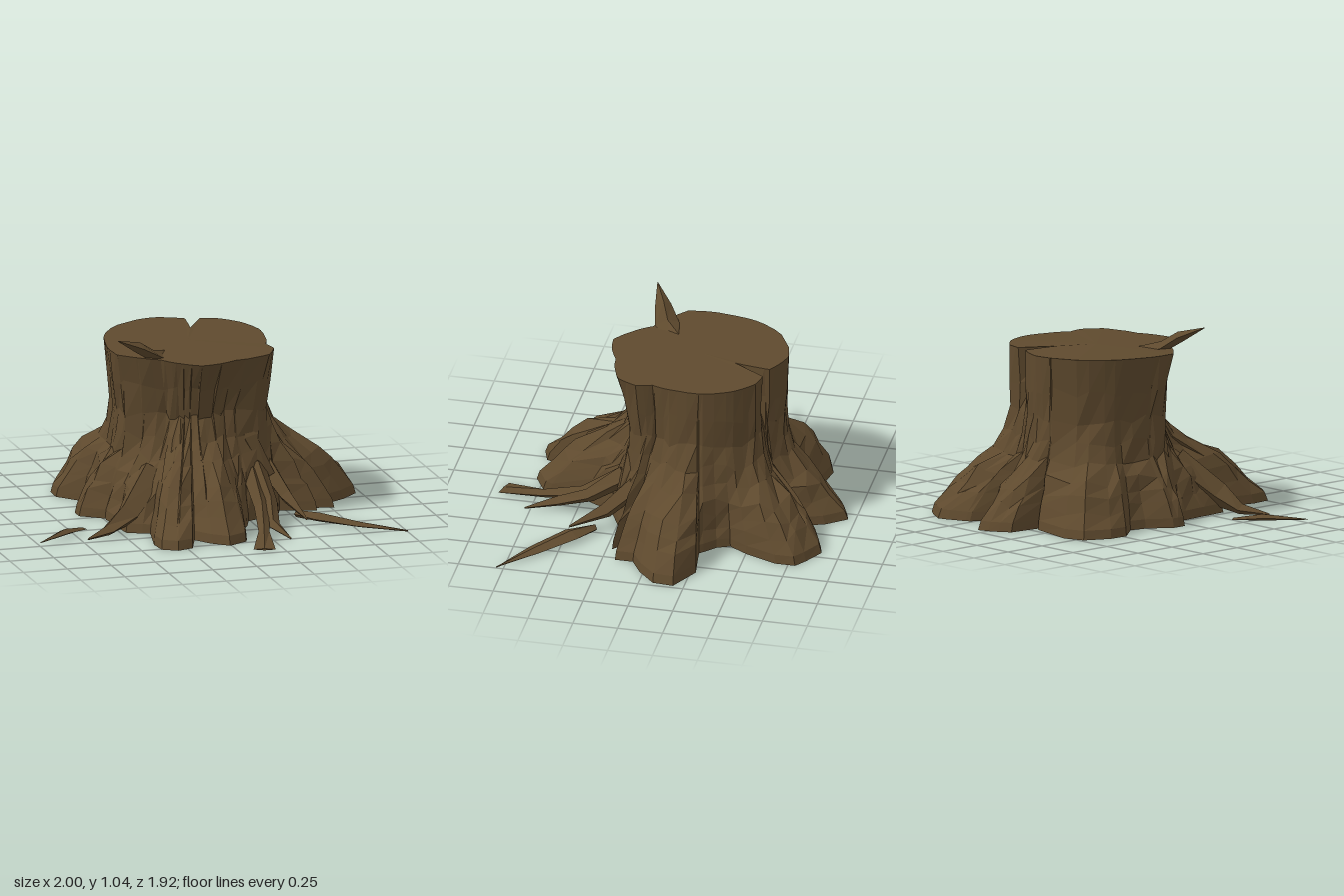
import * as THREE from 'three';

const CX = 0.03, CZ = -0.12; // trunk axis

// Outlines seen from above, as x, z pairs
const BASE = [
  [0.06, -0.96], [0.14, -0.85], [0.19, -0.7], [0.27, -0.83], [0.45, -0.9], [0.62, -0.79], [0.62, -0.68],
  [0.55, -0.5], [0.49, -0.4], [0.52, -0.33], [0.6, -0.25], [0.81, -0.28], [0.98, -0.19], [0.97, -0.07],
  [0.87, 0.02], [0.77, 0.08], [0.77, 0.18], [0.66, 0.22], [0.56, 0.13], [0.45, 0.15], [0.44, 0.22],
  [0.35, 0.27], [0.24, 0.32], [0.17, 0.47], [0.1, 0.73], [-0.01, 0.79], [-0.1, 0.71], [-0.16, 0.62],
  [-0.22, 0.78], [-0.31, 0.81], [-0.39, 0.76], [-0.4, 0.65], [-0.35, 0.42], [-0.47, 0.36], [-0.48, 0.2],
  [-0.49, 0.04], [-0.61, -0.05], [-0.61, -0.13], [-0.52, -0.26], [-0.5, -0.35], [-0.61, -0.48],
  [-0.61, -0.58], [-0.54, -0.73], [-0.43, -0.77], [-0.15, -0.71], [-0.13, -0.68], [-0.11, -0.87], [0, -0.94],
];
const RIM = [
  [-0.02, -0.61], [0.14, -0.54], [0.22, -0.52], [0.31, -0.5], [0.41, -0.4], [0.47, -0.24], [0.46, -0.1],
  [0.42, 0.05], [0.44, 0.14], [0.38, 0.25], [0.25, 0.3], [0.17, 0.31], [0.08, 0.35], [-0.04, 0.37],
  [-0.13, 0.3], [-0.22, 0.19], [-0.33, 0.12], [-0.42, 0.04], [-0.43, -0.1], [-0.41, -0.23],
  [-0.35, -0.4], [-0.25, -0.52], [-0.12, -0.59],
];
const NOTCH = [0.11, -0.34]; // split cut into the back of the rim

let seed = 7;
const rand = () => (seed = (seed * 16807) % 2147483647) / 2147483647;

const toPolar = (pts) => pts
  .map(([x, z]) => ({ a: Math.atan2(x - CX, z - CZ), r: Math.hypot(x - CX, z - CZ) }))
  .sort((p, q) => p.a - q.a);

// Radius of a polar outline at angle a
function radiusAt(polar, a) {
  const n = polar.length;
  let i = polar.findIndex((p) => p.a > a);
  if (i < 0) i = 0;
  const p = polar[(i + n - 1) % n], q = polar[i];
  const turn = Math.PI * 2;
  const span = (q.a - p.a + turn) % turn, t = ((a - p.a + turn) % turn) / span;
  return p.r + (q.r - p.r) * t;
}

// Closed skin over a list of equal-length rings, with a fan at each end
function skin(rings, startCentre, endCentre) {
  const n = rings[0].length, pos = rings.flat(2), index = [];
  for (let k = 0; k < rings.length - 1; k++) {
    for (let i = 0; i < n; i++) {
      const a = k * n + i, b = k * n + (i + 1) % n;
      index.push(a, b, b + n, a, b + n, a + n);
    }
  }
  const c0 = rings.length * n, last = c0 - n;
  pos.push(...startCentre, ...endCentre);
  for (let i = 0; i < n; i++) {
    const j = (i + 1) % n;
    index.push(c0, j, i, c0 + 1, last + i, last + j);
  }
  const g = new THREE.BufferGeometry();
  g.setAttribute('position', new THREE.Float32BufferAttribute(pos, 3));
  g.setIndex(index);
  const flat = g.toNonIndexed();
  flat.computeVertexNormals();
  return flat;
}

// Trunk: the waist flares down into the root outline and up into the rim
function trunkGeometry() {
  const base = toPolar(BASE), waist = toPolar(RIM), rim = toPolar([...RIM, NOTCH]);
  const angles = rim.map((p) => p.a);
  for (const { a } of base) {
    if (angles.every((b) => Math.abs(a - b) > 0.012)) angles.push(a);
  }
  angles.sort((a, b) => a - b);
  const levels = [[0, 1], [0.05, 0.97], [0.13, 0.84], [0.2, 0.73], [0.27, 0.59], [0.36, 0.3], [0.46, 0.12], [0.58, 0]];
  const waistRadius = (a) => {
    const front = Math.max(0, Math.cos(a)), left = Math.max(0, -Math.sin(a));
    return radiusAt(waist, a) * (0.98 - 0.25 * front * front - 0.08 * left * left);
  };
  const point = (a, r, y) => [CX + Math.sin(a) * r, y, CZ + Math.cos(a) * r];
  const rings = levels.map(([y, t], k) => angles.map((a) => {
    const w = waistRadius(a), b = radiusAt(base, a);
    // Roots straight behind and on the right side slope more evenly
    const slope = 1 + 0.7 * Math.max(0, -Math.cos(a), -Math.sin(a)) ** 4;
    const rough = k > 1 ? (rand() - 0.5) * 0.02 : 0;
    const lift = k > 1 ? (rand() - 0.5) * 0.05 : 0;
    return point(a, w + (b - w) * t ** slope + rough, y + lift);
  }));
  rings.push(angles.map((a) => {
    const r = waistRadius(a) * 0.6 + radiusAt(rim, a) * 0.4;
    return point(a, r + (rand() - 0.5) * 0.015, 0.74 + (rand() - 0.5) * 0.06);
  }));
  rings.push(angles.map((a) => point(a, radiusAt(rim, a), 0.918 - 0.012 * Math.cos(a))));
  return skin(rings, [CX, 0, CZ], [CX, 0.925, CZ]);
}

// Diamond-section splinter along stations of x, y, z, half width, half height
function splinterGeometry(stations) {
  const pts = stations.map(([x, y, z]) => new THREE.Vector3(x, y, z));
  const rings = stations.map(([, , , w, h], i) => {
    const d = pts[Math.min(i + 1, pts.length - 1)].clone().sub(pts[Math.max(i - 1, 0)]).normalize();
    const s = new THREE.Vector3(0, 1, 0).cross(d).normalize();
    const u = d.clone().cross(s);
    return [[w, 0], [0, h], [-w, 0], [0, -h]].map(([p, q]) => {
      const v = pts[i].clone().addScaledVector(s, p).addScaledVector(u, q);
      return [v.x, Math.max(0, v.y), v.z];
    });
  });
  return skin(rings, pts[0].toArray(), pts[pts.length - 1].toArray());
}

const SPLINTERS = {
  rimSplinter: [[-0.16, 0.88, 0.04, 0.05, 0.04], [-0.25, 0.92, 0.12, 0.07, 0.03], [-0.34, 0.98, 0.16, 0.045, 0.03], [-0.47, 1.04, 0.22, 0.002, 0.002]],
  looseShard: [[-0.68, 0.01, 0.24, 0.03, 0.006], [-0.81, 0.025, 0.34, 0.035, 0.018], [-1, 0.02, 0.5, 0.002, 0.002]],
  rightRoot: [[-0.27, 0.28, 0.18, 0.1, 0.08], [-0.45, 0.1, 0.34, 0.07, 0.07], [-0.58, 0.03, 0.39, 0.045, 0.03], [-0.72, 0.01, 0.47, 0.003, 0.005]],
  leftLongRoot: [[0.5, 0.03, 0.35, 0.02, 0.02], [0.6, 0.03, 0.46, 0.06, 0.025], [0.78, 0.015, 0.62, 0.045, 0.015], [1, 0.005, 0.79, 0.002, 0.004]],
  frontLongRoot: [[0.28, 0.24, 0.24, 0.05, 0.06], [0.27, 0.11, 0.46, 0.04, 0.04], [0.21, 0.04, 0.7, 0.03, 0.025], [0.14, 0.005, 0.94, 0.06, 0.006]],
  frontThinRoot: [[0.31, 0.27, 0.22, 0.06, 0.06], [0.33, 0.13, 0.42, 0.04, 0.04], [0.29, 0.05, 0.6, 0.04, 0.03], [0.34, 0.01, 0.78, 0.003, 0.005]],
  frontSideRoot: [[0.38, 0.28, 0.12, 0.06, 0.06], [0.46, 0.12, 0.3, 0.04, 0.045], [0.52, 0.03, 0.49, 0.003, 0.006]],
  // Ridges running down the front bark
  frontRidge: [[-0.1, 0.56, 0.17, 0.03, 0.02], [-0.13, 0.4, 0.26, 0.08, 0.04], [-0.24, 0.22, 0.5, 0.08, 0.04], [-0.3, 0.04, 0.73, 0.06, 0.04]],
  leftRidge: [[0.27, 0.62, 0.11, 0.02, 0.02], [0.29, 0.44, 0.18, 0.06, 0.04], [0.38, 0.22, 0.22, 0.04, 0.04]],
};

export function createModel() {
  const bark = new THREE.MeshStandardMaterial({ color: 0x5f4a2e });
  bark.name = 'bark';
  const group = new THREE.Group();
  group.name = 'treeStump';
  const add = (name, geometry) => {
    const mesh = new THREE.Mesh(geometry, bark);
    mesh.name = name;
    group.add(mesh);
  };
  add('trunk', trunkGeometry());
  for (const [name, stations] of Object.entries(SPLINTERS)) add(name, splinterGeometry(stations));
  return group;
}
